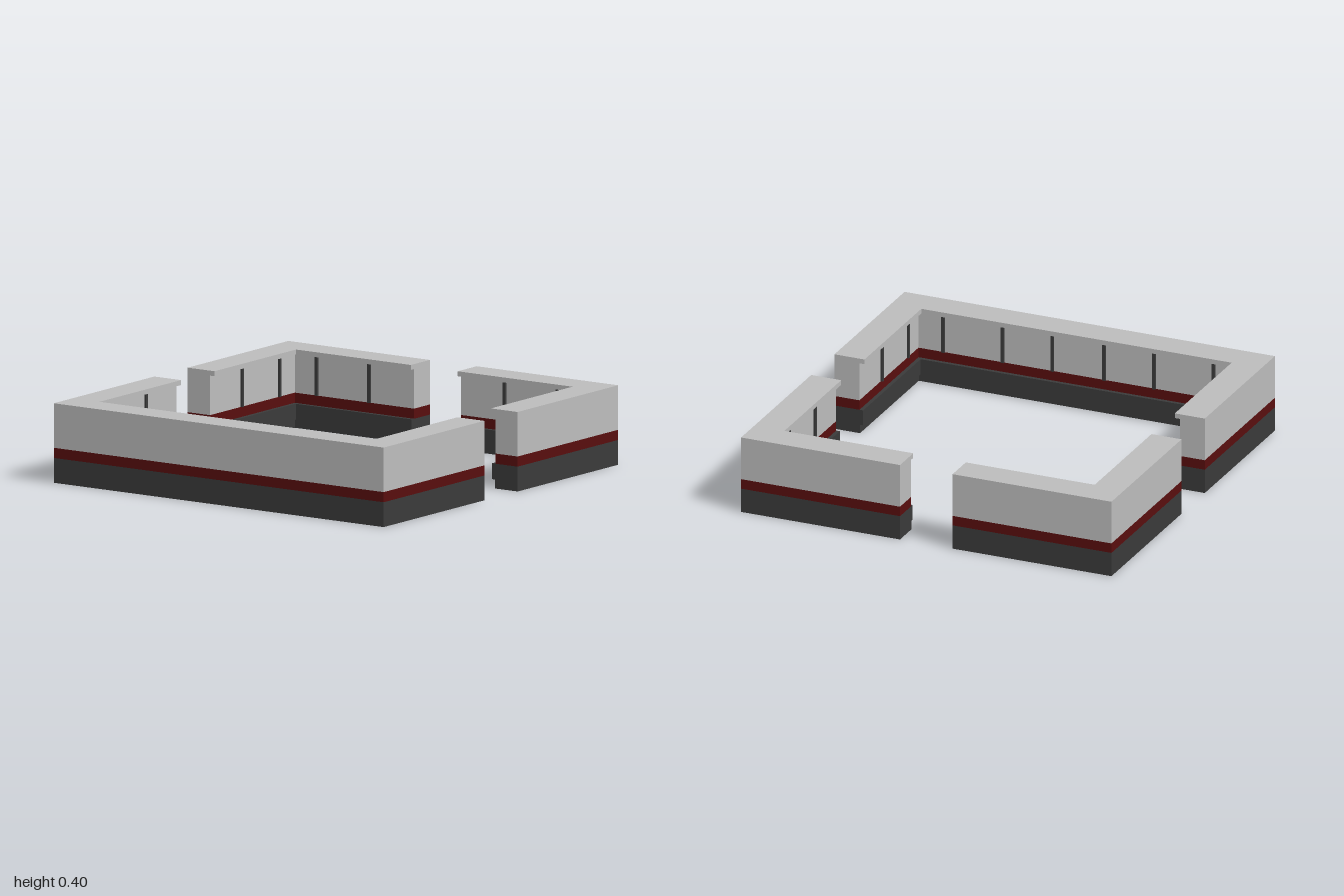
import * as THREE from 'three';

const GAP = 0.142; // half width of each doorway
const WALL = 0.865; // inner face of the wall panels

const mat = (name, color) => {
  const m = new THREE.MeshStandardMaterial({ color });
  m.name = name;
  return m;
};

export function createModel() {
  const grey = mat('light grey', 0xbcbcbc);
  const red = mat('dark red', 0x580e0e);
  const dark = mat('charcoal', 0x3a3a3a);
  const group = new THREE.Group();
  group.name = 'perimeterWall';

  // Plan outlines: a U along the left side and two L corners on the right
  const plans = (r) => [
    [[-1, -1], [-GAP, -1], [-GAP, -r], [-r, -r], [-r, r], [-GAP, r], [-GAP, 1], [-1, 1]],
    [[GAP, -1], [1, -1], [1, -GAP], [r, -GAP], [r, -r], [GAP, -r]],
    [[GAP, 1], [GAP, r], [r, r], [r, GAP], [1, GAP], [1, 1]],
  ];

  // Stacked layers: bottom, top, inner radius
  const layers = [
    ['foot', 0, 0.045, 0.862, dark],
    ['plinth', 0.045, 0.125, 0.845, dark],
    ['band', 0.125, 0.176, WALL, red],
    ['panel', 0.176, 0.375, WALL, grey],
    ['cornice', 0.375, 0.4, 0.838, grey],
  ];
  for (const [name, y0, y1, r, material] of layers) {
    const shapes = plans(r).map((p) => new THREE.Shape(p.map(([x, y]) => new THREE.Vector2(x, y))));
    const geo = new THREE.ExtrudeGeometry(shapes, { depth: y1 - y0, bevelEnabled: false });
    geo.rotateX(-Math.PI / 2).translate(0, y0, 0);
    const mesh = new THREE.Mesh(geo, material);
    mesh.name = name;
    group.add(mesh);
  }

  // Slim posts dividing the inner panels, one run per side
  const post = new THREE.BoxGeometry(0.016, 0.199, 0.012);
  const knob = new THREE.BoxGeometry(0.022, 0.035, 0.016);
  const ends = [-0.73, -0.41, 0.41, 0.73];
  const sides = [
    ['front', 0, ends],
    ['right', Math.PI / 2, ends],
    ['back', Math.PI, ends],
    ['left', -Math.PI / 2, [-0.73, -0.41, -0.14, 0.14, 0.41, 0.73]],
  ];
  for (const [name, angle, spots] of sides) {
    const run = new THREE.Group();
    run.name = name + 'Posts';
    run.rotation.y = angle;
    for (const x of spots) {
      const p = new THREE.Mesh(post, dark);
      p.name = 'post';
      p.position.set(x, 0.2755, WALL - 0.005);
      run.add(p);
    }
    // Small latch at the foot of one post on the doorway walls
    if (name === 'front' || name === 'back') {
      const k = new THREE.Mesh(knob, dark);
      k.name = 'latch';
      k.position.set(0.415, 0.18, WALL - 0.007);
      run.add(k);
    }
    group.add(run);
  }
  return group;
}
